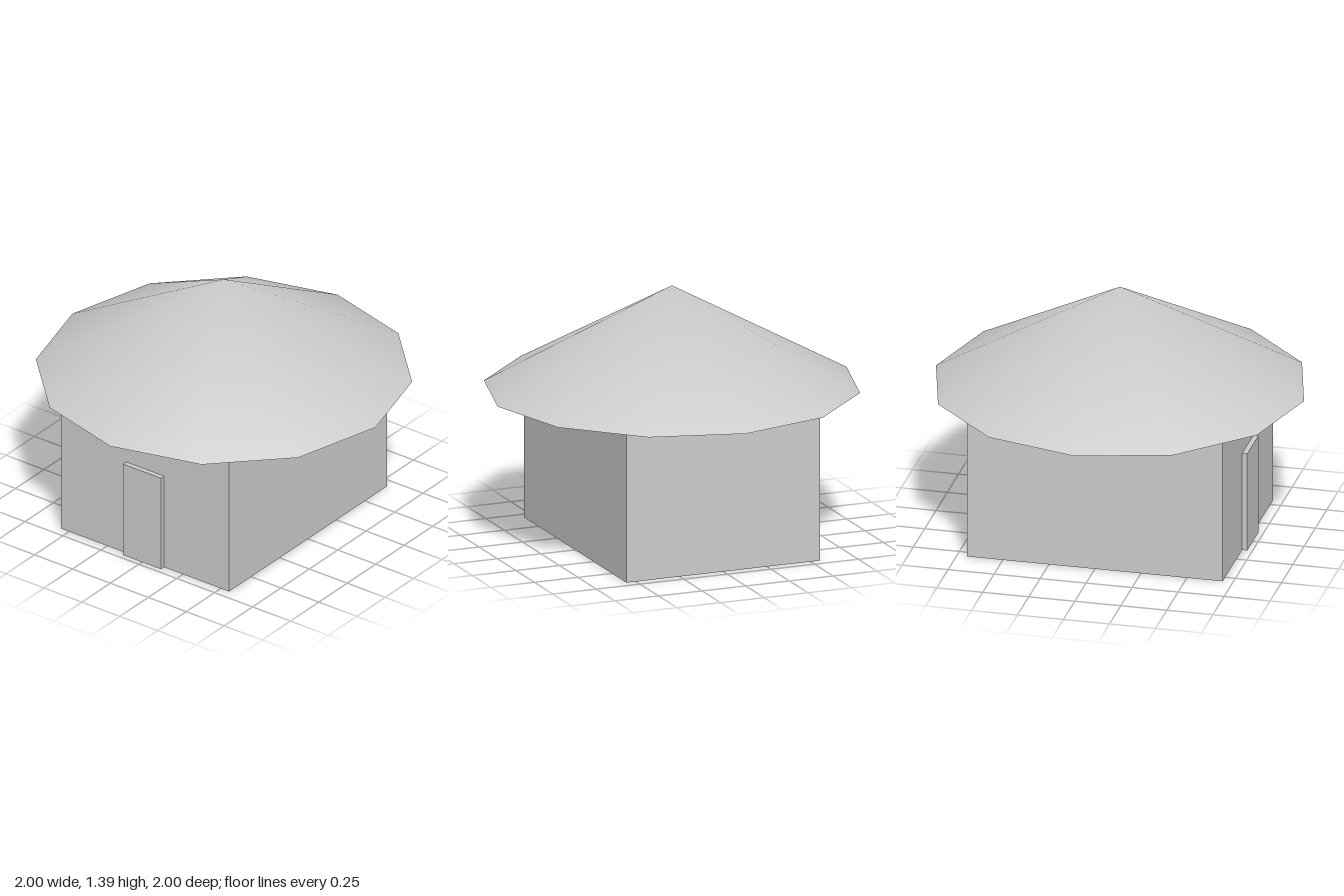
import * as THREE from 'three';
import { mergeVertices } from 'three/addons/utils/BufferGeometryUtils.js';

const WALL_HEIGHT = 0.834;
const ROOF_HEIGHT = 0.555;

export function createModel() {
  const hut = new THREE.Group();
  hut.name = 'hut';

  const plainGrey = new THREE.MeshStandardMaterial({ color: 0xcccccc, side: THREE.DoubleSide });
  plainGrey.name = 'plainGrey';

  function addPart(name, geometry, y, z = 0) {
    const mesh = new THREE.Mesh(geometry, plainGrey);
    mesh.name = name;
    mesh.position.set(0, y, z);
    hut.add(mesh);
  }

  // Rectangular walls, and a door slab half sunk into the front wall
  addPart('walls', new THREE.BoxGeometry(1.11, WALL_HEIGHT, 1.389), WALL_HEIGHT / 2);
  addPart('door', new THREE.BoxGeometry(0.25, 0.555, 0.056), 0.2775, 0.694);

  // Twelve-sided roof, open underneath, welded so it shades smoothly over the tip
  const cone = new THREE.ConeGeometry(1, ROOF_HEIGHT, 12, 1, true);
  cone.deleteAttribute('normal');
  cone.deleteAttribute('uv');
  const roof = mergeVertices(cone);
  roof.computeVertexNormals();
  addPart('roof', roof, WALL_HEIGHT + ROOF_HEIGHT / 2);

  return hut;
}
